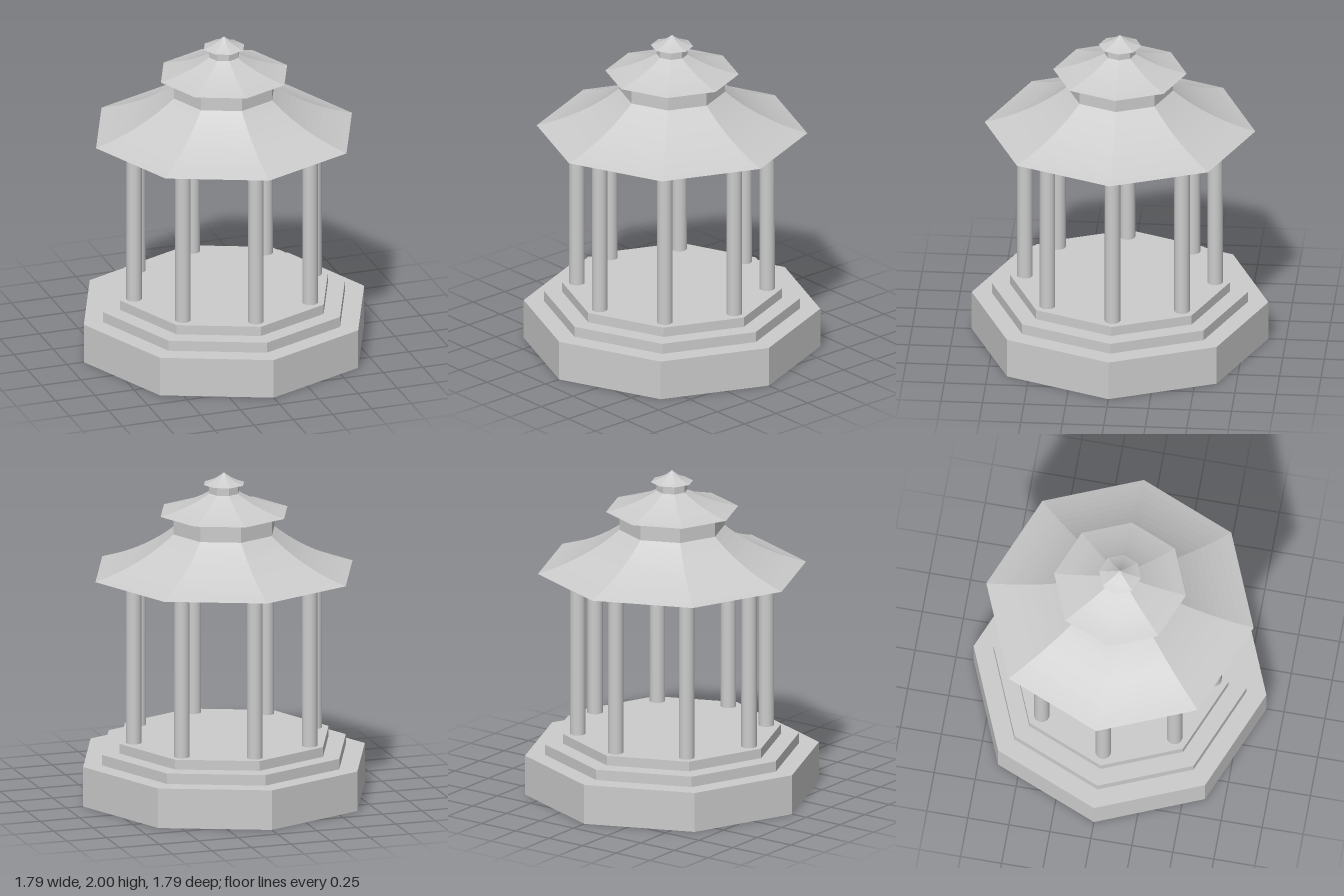
import * as THREE from 'three';

const SIDES = 8;
const flat = new THREE.MeshStandardMaterial({ color: 0xcccccc, flatShading: true });
const smooth = new THREE.MeshStandardMaterial({ color: 0xcccccc });

export function createModel() {
  const group = new THREE.Group();
  group.name = 'pavilion';

  const add = (name, geometry, material = flat) => {
    const mesh = new THREE.Mesh(geometry, material);
    mesh.name = name;
    group.add(mesh);
    return mesh;
  };

  // Octagonal slab with a corner facing the front
  const slab = (name, radius, y0, y1) => {
    add(name, new THREE.CylinderGeometry(radius, radius, y1 - y0, SIDES)).position.y = (y0 + y1) / 2;
  };

  // Octagonal roof with a flat underside and a concave sweep from eave to top
  const roof = (name, eave, control, top) => {
    const curve = new THREE.QuadraticBezierCurve(
      new THREE.Vector2(...eave), new THREE.Vector2(...control), new THREE.Vector2(...top));
    const profile = [new THREE.Vector2(0, eave[1]), ...curve.getPoints(12)];
    add(name, new THREE.LatheGeometry(profile, SIDES));
  };

  // Stepped base
  slab('base', 0.893, 0, 0.245);
  slab('lowerStep', 0.772, 0.245, 0.31);
  slab('floor', 0.663, 0.31, 0.37);

  // Round columns, one near each corner
  const columnGeometry = new THREE.CylinderGeometry(0.047, 0.047, 1.015, 24);
  for (let i = 0; i < SIDES; i++) {
    const angle = (i / SIDES) * Math.PI * 2;
    add(`column${i + 1}`, columnGeometry, smooth)
      .position.set(Math.sin(angle) * 0.573, 0.8775, Math.cos(angle) * 0.573);
  }

  // Three stacked roofs separated by drums
  roof('mainRoof', [0.815, 1.385], [0.525, 1.465], [0.32, 1.64]);
  slab('drum', 0.32, 1.64, 1.755);
  roof('upperRoof', [0.402, 1.755], [0.22, 1.795], [0.094, 1.875]);
  slab('neck', 0.094, 1.875, 1.93);
  roof('cap', [0.128, 1.93], [0.055, 1.952], [0, 2]);

  return group;
}
